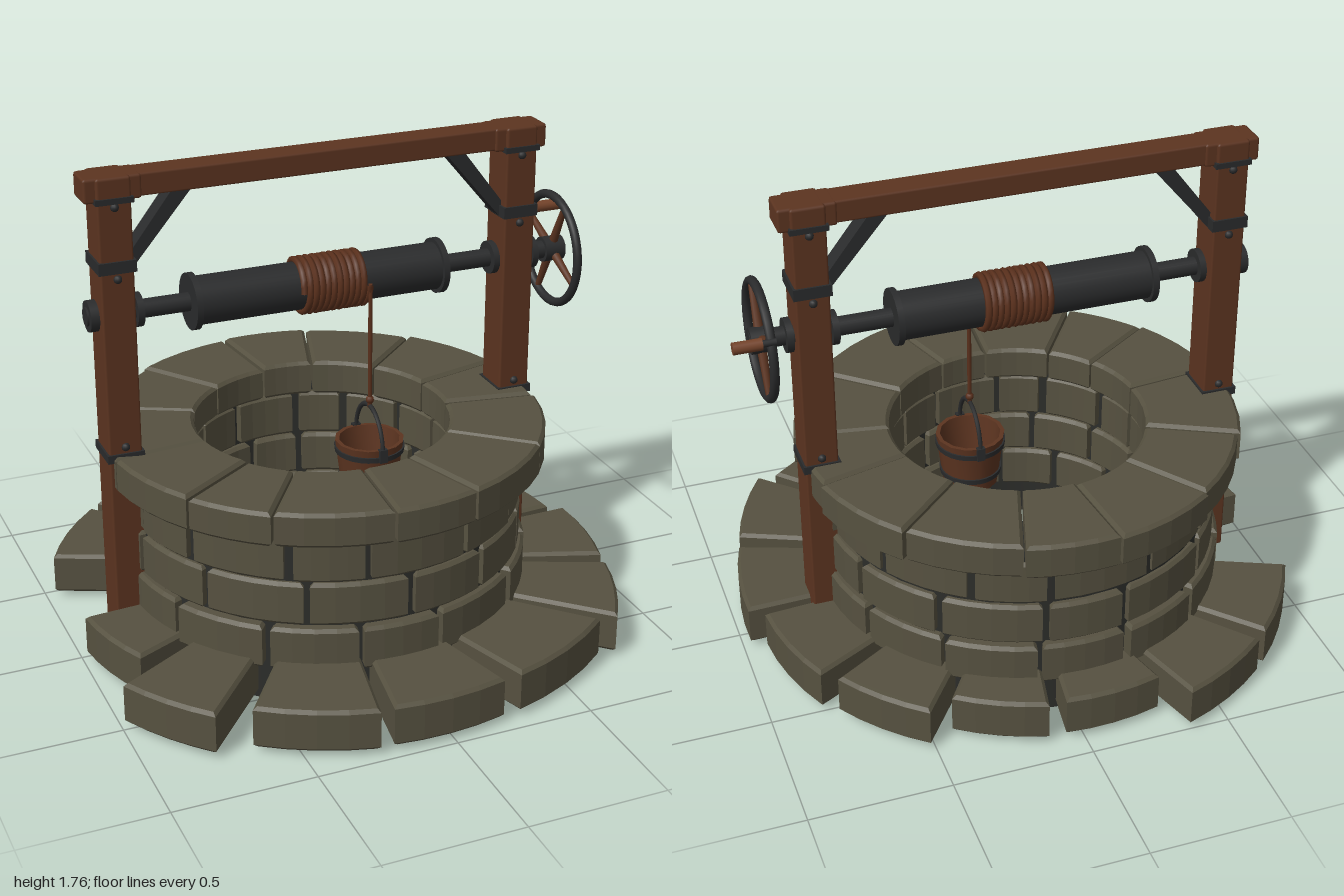
import * as THREE from 'three';
import { toCreasedNormals } from 'three/addons/utils/BufferGeometryUtils.js';
import { RoundedBoxGeometry } from 'three/addons/geometries/RoundedBoxGeometry.js';

const paint = (name, color) => Object.assign(new THREE.MeshStandardMaterial({ color }), { name });

export function createModel() {
  const stone = paint('stone', 0x565140);
  const mortar = paint('mortar', 0x2c2d2a);
  const wood = paint('wood', 0x5c3420);
  const iron = paint('iron', 0x2a2b2c);
  const rope = paint('rope', 0x5a301c);
  const grip = paint('gripWood', 0x74432a);

  const model = new THREE.Group();
  model.name = 'well';
  const rad = THREE.MathUtils.degToRad;
  let seed = 7;
  const rand = () => (seed = (seed * 16807) % 2147483647) / 2147483647;

  const add = (parent, name, geo, mat, x = 0, y = 0, z = 0) => {
    const m = new THREE.Mesh(geo, mat);
    m.name = name;
    m.position.set(x, y, z);
    parent.add(m);
    return m;
  };
  const group = (name, x = 0, y = 0, z = 0) => {
    const g = new THREE.Group();
    g.name = name;
    g.position.set(x, y, z);
    model.add(g);
    return g;
  };
  const lathe = (pts, n = 40) => toCreasedNormals(
    new THREE.LatheGeometry(pts.map(([r, y]) => new THREE.Vector2(r, y)), n), 0.6);
  const rod = (parent, name, mat, x0, x1, r, n = 24) => {
    const geo = new THREE.CylinderGeometry(r, r, x1 - x0, n).rotateZ(Math.PI / 2);
    return add(parent, name, geo, mat, (x0 + x1) / 2);
  };

  // Bevelled wedge stone; angles in degrees from +x towards +z, own outer radius at each end
  const wedge = (a0, a1, rIn, r0, r1, y0, y1, gap = 0.006) => {
    const b = 0.012, s = new THREE.Shape(), steps = 4, pts = [];
    for (let i = 0; i <= steps; i++) {
      const t = i / steps, r = r0 + (r1 - r0) * t;
      const a = rad(a0) + gap / r + (rad(a1 - a0) - 2 * gap / r) * t;
      pts.push(new THREE.Vector2(r * Math.cos(a), r * Math.sin(a)));
    }
    for (let i = steps; i >= 0; i--) {
      const a = rad(a0) + gap / rIn + (rad(a1 - a0) - 2 * gap / rIn) * i / steps;
      pts.push(new THREE.Vector2(rIn * Math.cos(a), rIn * Math.sin(a)));
    }
    s.setFromPoints(pts);
    const geo = new THREE.ExtrudeGeometry(s, {
      depth: y1 - y0 - 2 * b, bevelThickness: b, bevelSize: b, bevelOffset: -b, bevelSegments: 1,
    });
    return geo.rotateX(Math.PI / 2).translate(0, y1 - b, 0);
  };

  // Stone shaft
  const shaft = group('shaft', -0.055, -0.0, -0.05);
  add(shaft, 'mortarCore', lathe([[0.495, 0], [0.7, 0], [0.7, 0.66], [0.495, 0.66], [0.495, 0]]), mortar);

  // Footing stones: start angle, end angle, outer radius at each
  const footing = [
    [-4, -27.5, 0.98, 0.985], [-31, -53, 0.96, 0.955], [-56, -78, 0.865, 0.88], [-82, -105, 0.87, 0.87],
    [-107.5, -129.5, 1, 1], [-132.6, -156, 1, 1], [176, 154.5, 0.93, 0.92], [150, 130.6, 1.08, 1.1],
    [125, 101.6, 1.03, 1.04], [99, 76, 1.03, 1.03], [72.3, 46.5, 1.04, 1.07], [44, 23.6, 1.12, 1.05],
    [20, -1.7, 1.04, 1.03],
  ];
  for (const [a1, a0, r1, r0] of footing)
    add(shaft, 'footingStone', wedge(a0, a1, 0.66, r0, r1, 0.02, 0.175, 0), stone);

  // Three wall courses: count, first joint, bottom, top, outer radius
  const courses = [[14, 51.3, 0.14, 0.305, 0.735], [13, 90, 0.305, 0.47, 0.722], [14, 97.5, 0.47, 0.645, 0.715]];
  for (const [n, start, y0, y1, r] of courses) {
    const joints = Array.from({ length: n }, (_, i) => start + (i + (rand() - 0.5) * 0.2) * 360 / n);
    joints.forEach((a, i) => {
      const end = i + 1 < n ? joints[i + 1] : joints[0] + 360;
      const out = r + (rand() - 0.5) * 0.014;
      add(shaft, 'wallStone', wedge(a, end, 0.47, out, out, y0 + 0.003, y1 - 0.003, 0.006 + rand() * 0.012), stone);
    });
  }

  // Rim stones
  const rim = [9.7, 41, 72, 94.4, 124, 146, 174, 206.6, 235, 263.7, 287.5, 317.3, 346, 369.7];
  for (let i = 0; i < 13; i++) {
    const r = 0.795 + (rand() - 0.5) * 0.015 - (i === 12 ? 0.015 : 0);
    add(shaft, 'rimStone', wedge(rim[i], rim[i + 1], 0.46, r, r, 0.64, 0.768 + (rand() - 0.5) * 0.01, 0.004), stone);
  }

  // Timber frame, mirrored about the middle of the beam
  const frame = group('frame', -0.06, 0, -0.06);
  add(frame, 'beam', new RoundedBoxGeometry(1.66, 0.08, 0.105, 1, 0.008), wood, 0, 1.72);
  for (const s of [-1, 1]) {
    const x = s * 0.745;
    add(frame, 'post', new RoundedBoxGeometry(0.118, 1.63, 0.14, 1, 0.008), wood, x, 0.875);
    add(frame, 'beamEnd', new RoundedBoxGeometry(0.12, 0.086, 0.142, 1, 0.01), wood, x, 1.718);
    add(frame, 'beamTip', new RoundedBoxGeometry(0.2, 0.085, 0.118, 1, 0.01), wood, s * 0.745, 1.718);
    for (const [y, h] of [[1.682, 0.02], [1.452, 0.042], [0.76, 0.03]])
      add(frame, 'strap', new THREE.BoxGeometry(0.132, h, 0.154), iron, x, y);
    for (const y of [1.66, 1.41, 0.798])
      for (const z of [-0.07, 0.07])
        add(frame, 'bolt', new THREE.SphereGeometry(0.015, 10, 8), iron, x, y, z);
    const brace = new THREE.Shape([[0.686, 1.49], [0.686, 1.425], [0.47, 1.68], [0.54, 1.68]]
      .map(([px, py]) => new THREE.Vector2(s * px, py)));
    add(frame, 'brace', new THREE.ExtrudeGeometry(brace, { depth: 0.07, bevelEnabled: false }), iron, 0, 0, -0.035);
  }

  // Windlass
  const windlass = group('windlass', 0, 1.267, -0.06);
  rod(windlass, 'axle', iron, -0.905, 0.895, 0.033);
  rod(windlass, 'drum', iron, -0.53, 0.39, 0.085, 28);
  for (const [x0, x1, r] of [[-0.54, -0.518, 0.1], [0.38, 0.402, 0.1], [-0.898, -0.868, 0.055],
    [-0.735, -0.712, 0.06], [0.595, 0.618, 0.06], [0.752, 0.775, 0.06], [0.815, 0.892, 0.046]])
    rod(windlass, 'collar', iron, x0, x1, r);

  // Rope coil and hanging line
  const turns = 11, coil = [];
  for (let i = 0; i <= turns * 16; i++) {
    const a = i / 16 * Math.PI * 2;
    coil.push(new THREE.Vector3(-0.15 + 0.245 * i / (turns * 16), 0.093 * Math.sin(a), 0.093 * Math.cos(a)));
  }
  add(windlass, 'ropeCoil', new THREE.TubeGeometry(new THREE.CatmullRomCurve3(coil), turns * 24, 0.0125, 6), rope);
  add(model, 'ropeLine', new THREE.CylinderGeometry(0.008, 0.008, 0.47, 8), rope, 0.096, 1.035, 0.034);
  add(model, 'ropeKnot', new THREE.SphereGeometry(0.015, 10, 8), rope, 0.096, 0.83, 0.034);

  // Crank wheel
  const wheel = group('crankWheel', 0.855, 1.267, -0.06);
  add(wheel, 'wheelRim', new THREE.TorusGeometry(0.2, 0.016, 10, 40).rotateY(Math.PI / 2), iron);
  for (let i = 0; i < 4; i++) {
    const spoke = new THREE.CylinderGeometry(0.011, 0.017, 0.17, 10).translate(0, 0.115, 0);
    add(wheel, 'spoke', spoke, wood).rotation.x = -rad(64) + i * Math.PI / 2;
  }
  const crank = new THREE.Group();
  crank.name = 'crankHandle';
  crank.position.set(0, 0.095, -0.188);
  wheel.add(crank);
  rod(crank, 'handlePin', iron, -0.015, 0.04, 0.012, 12);
  rod(crank, 'handleGrip', grip, 0.032, 0.13, 0.021, 14);

  // Bucket
  const bucket = group('bucket', 0.096, 0.48, 0.032);
  add(bucket, 'staves', lathe([[0, 0], [0.1, 0], [0.125, 0.2], [0.11, 0.2], [0.088, 0.02], [0, 0.02]], 14), wood);
  for (const y of [0.04, 0.155]) {
    const r = 0.102 + y * 0.125;
    add(bucket, 'hoop', lathe([[r, 0], [r + 0.004, 0], [r + 0.006, 0.02], [r, 0.02], [r, 0]], 28), iron, 0, y);
  }
  const arc = new THREE.TorusGeometry(0.122, 0.008, 8, 24, Math.PI).rotateY(Math.PI / 2).scale(1, 1.2, 1);
  add(bucket, 'bail', arc, iron, 0, 0.18);
  for (const s of [-1, 1]) add(bucket, 'bailLug', new THREE.BoxGeometry(0.03, 0.05, 0.02), iron, 0, 0.18, s * 0.122);

  return model;
}
